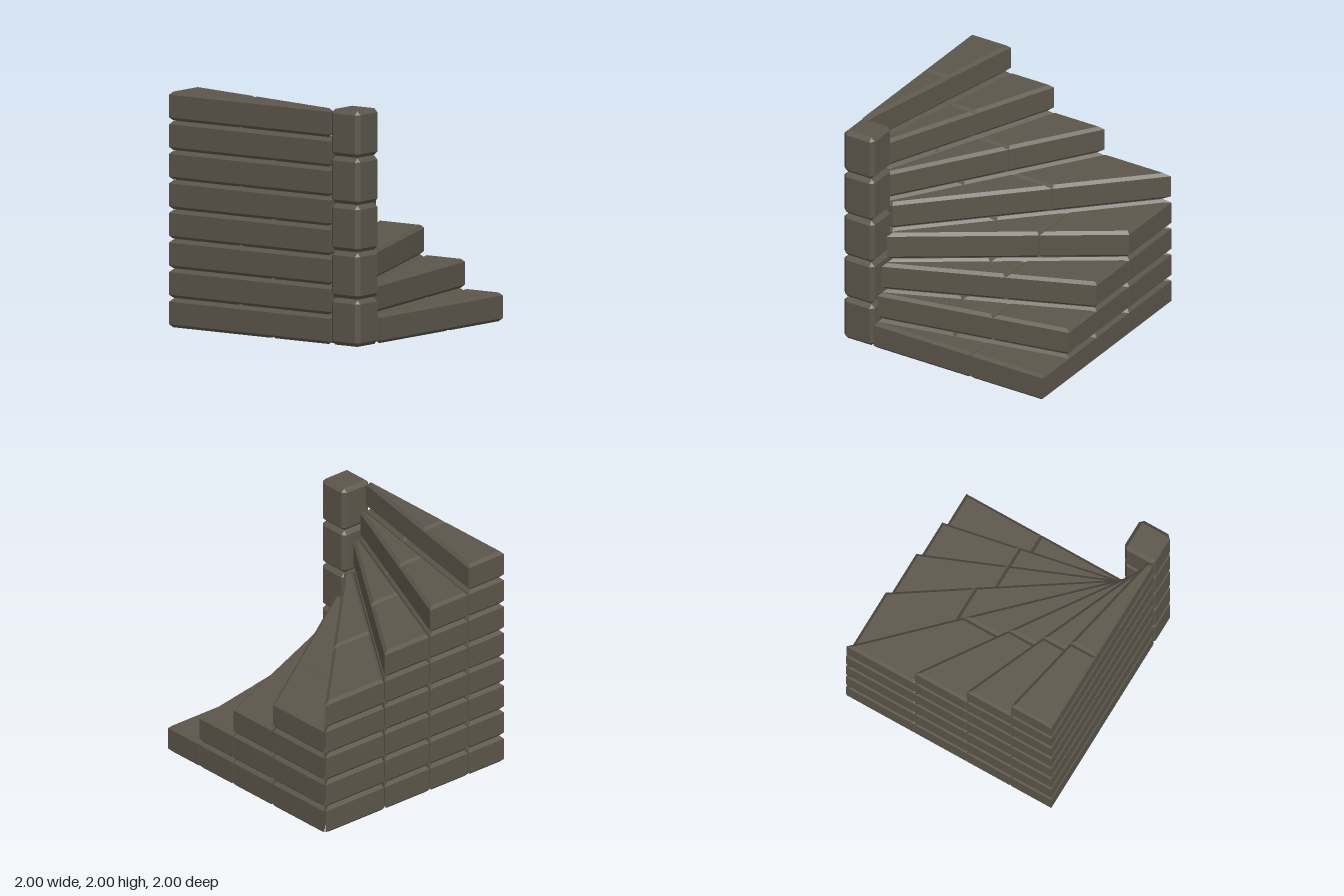
import * as THREE from 'three';
import { ConvexGeometry } from 'three/addons/geometries/ConvexGeometry.js';

const STEPS = 8;
const CHAMFER = 0.026;
const INNER = 0.307; // where the treads stop beside the newel post
const GAP = 0.004;
const SPLITS = [1.275, 1.325, 1.28, 1.37, 1.28, 1.27, 1.255, 1.26];

// Cuts a convex polygon, keeping the side where nx*u + ny*v <= d.
function clip(poly, [nx, ny, d]) {
  const out = [];
  poly.forEach((p, i) => {
    const q = poly[(i + 1) % poly.length];
    const a = nx * p[0] + ny * p[1] - d;
    const b = nx * q[0] + ny * q[1] - d;
    if (a <= 0) out.push(p);
    if (a * b < 0) {
      const t = a / (a - b);
      out.push([p[0] + (q[0] - p[0]) * t, p[1] + (q[1] - p[1]) * t]);
    }
  });
  return out;
}

// Plan outline bounded by a list of lines, each moved inward by the inset.
function outline(lines, inset) {
  let poly = [[-1, -1], [3, -1], [3, 3], [-1, 3]];
  for (const [nx, ny, d] of lines) poly = clip(poly, [nx, ny, d - inset]);
  return poly;
}

// Brick with bevelled top and bottom edges; u, v run from the post corner.
function brickGeometry(lines, y0, y1) {
  const points = [];
  const ring = (poly, y) => poly.forEach(([u, v]) => points.push(new THREE.Vector3(u - 1, y, 1 - v)));
  const wide = outline(lines, 0);
  const narrow = outline(lines, CHAMFER);
  ring(narrow, y0);
  ring(wide, y0 + CHAMFER);
  ring(wide, y1 - CHAMFER);
  ring(narrow, y1);
  return new ConvexGeometry(points);
}

// Block with all twelve edges bevelled.
function blockGeometry(w, h, d, c) {
  const points = [];
  for (const sx of [-1, 1]) for (const sy of [-1, 1]) for (const sz of [-1, 1]) {
    for (let full = 0; full < 3; full++) {
      const p = [w, h, d].map((s, k) => s / 2 - (k === full ? 0 : c));
      points.push(new THREE.Vector3(sx * p[0], sy * p[1], sz * p[2]));
    }
  }
  return new ConvexGeometry(points);
}

export function createModel() {
  const model = new THREE.Group();
  model.name = 'cornerStaircase';
  const stone = new THREE.MeshStandardMaterial({ color: 0x5c554a });
  stone.name = 'stone';

  // Corner post: five stacked blocks
  const post = new THREE.Group();
  post.name = 'cornerPost';
  const block = blockGeometry(0.3, 0.396, 0.3, 0.033);
  for (let i = 0; i < 5; i++) {
    const mesh = new THREE.Mesh(block, stone);
    mesh.name = 'postBlock';
    mesh.position.set(-0.85, 0.198 + i * 0.401, 0.85);
    post.add(mesh);
  }
  model.add(post);

  // Wedge columns: each step is a stack of brick courses up to its tread
  const angle = Math.PI / 2 / STEPS;
  for (let step = 0; step < STEPS; step++) {
    const column = new THREE.Group();
    column.name = 'step' + (step + 1);
    const a0 = step * angle;
    const a1 = a0 + angle;
    const axis = step < STEPS / 2 ? [1, 0] : [0, 1]; // direction the bricks run
    const sides = [
      [Math.sin(a0), -Math.cos(a0), step === 0 ? 0 : -GAP],
      [-Math.sin(a1), Math.cos(a1), step === STEPS - 1 ? 0 : -GAP],
    ];
    for (let course = 0; course <= step; course++) {
      // alternate courses have staggered joints
      const split = SPLITS[step] - ((step - course) % 2 ? 0.34 : 0);
      const y0 = course * 0.2508;
      for (const [from, to] of [[INNER, split - 0.002], [split + 0.002, 2]]) {
        const lines = [...sides, [-axis[0], -axis[1], -from], [axis[0], axis[1], to]];
        const brick = new THREE.Mesh(brickGeometry(lines, y0, y0 + 0.2444), stone);
        brick.name = course === step ? 'treadBrick' : 'wallBrick';
        column.add(brick);
      }
    }
    model.add(column);
  }
  return model;
}
